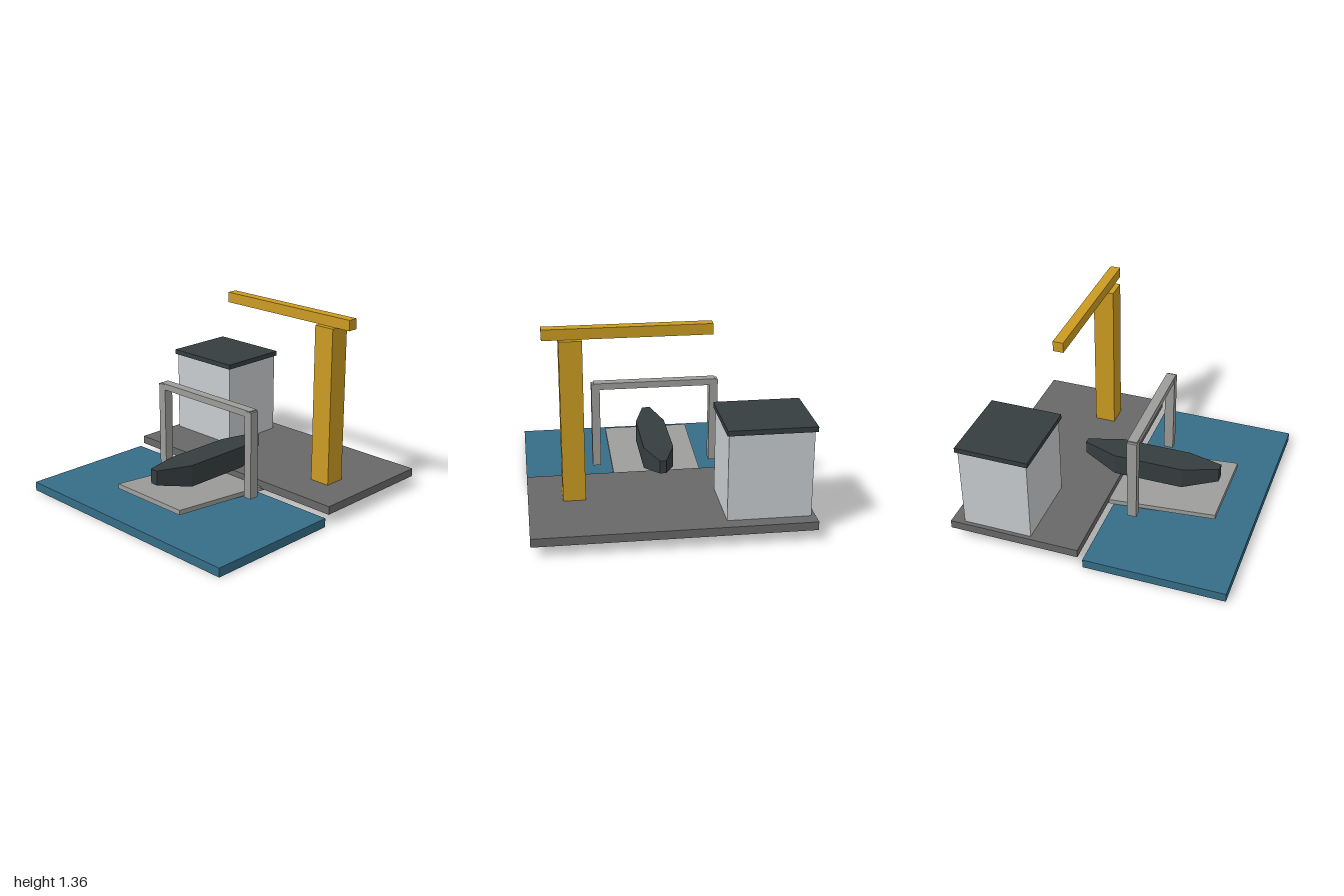
import * as THREE from 'three';

const mat = (name, color) => {
  const m = new THREE.MeshStandardMaterial({ color });
  m.name = name;
  return m;
};

// Loft rectangular sections [z, halfWidth, bottom, top] into a closed faceted hull
function loftHull(sections) {
  const pos = [];
  const rings = sections.map(([z, w, b, t]) => [[-w, b, z], [w, b, z], [w, t, z], [-w, t, z]]);
  const quad = (a, b, c, d) => pos.push(...a, ...b, ...c, ...a, ...c, ...d);
  for (let i = 0; i < rings.length - 1; i++) {
    for (let j = 0; j < 4; j++) {
      const k = (j + 1) % 4;
      quad(rings[i][j], rings[i][k], rings[i + 1][k], rings[i + 1][j]);
    }
  }
  const [a, b, c, d] = rings[0];
  quad(d, c, b, a);
  quad(...rings[rings.length - 1]);
  const geo = new THREE.BufferGeometry();
  geo.setAttribute('position', new THREE.Float32BufferAttribute(pos, 3));
  geo.computeVertexNormals();
  return geo;
}

export function createModel() {
  const model = new THREE.Group();
  model.name = 'boatyard';

  const water = mat('water blue', 0x356d87);
  const concrete = mat('concrete grey', 0x686868);
  const steel = mat('steel grey', 0x9c9c9a);
  const yellow = mat('crane yellow', 0xcb9b22);
  const wall = mat('wall light grey', 0xc8cccf);
  const dark = mat('dark slate', 0x353d3e);

  // Box given by its extents along each axis
  const box = (name, material, [x0, x1], [y0, y1], [z0, z1], parent = model) => {
    const mesh = new THREE.Mesh(new THREE.BoxGeometry(x1 - x0, y1 - y0, z1 - z0), material);
    mesh.position.set((x0 + x1) / 2, (y0 + y1) / 2, (z0 + z1) / 2);
    mesh.name = name;
    parent.add(mesh);
    return mesh;
  };
  const group = (name) => {
    const g = new THREE.Group();
    g.name = name;
    model.add(g);
    return g;
  };

  // Ground slabs
  box('waterSlab', water, [-0.95, 0.95], [0, 0.065], [-0.015, 1]);
  box('quay', concrete, [-0.95, 0.95], [0.08, 0.14], [-1, -0.05]);

  // Sloping slipway, rising towards the front
  const slipway = box('slipway', steel, [-0.317, 0.317], [0.081, 0.115], [-0.391, 0.745]);
  slipway.rotation.x = -0.088;

  // Shed
  const shed = group('shed');
  box('shedWalls', wall, [-0.92, -0.35], [0.14, 0.75], [-0.905, -0.405], shed);
  box('shedRoof', dark, [-0.937, -0.337], [0.75, 0.786], [-0.92, -0.39], shed);

  // Crane
  const crane = group('crane');
  box('craneMast', yellow, [0.555, 0.71], [0.14, 1.285], [-0.475, -0.323], crane);
  box('craneJib', yellow, [-0.32, 0.82], [1.285, 1.36], [-0.437, -0.362], crane);

  // Gantry frame over the slipway
  const gantry = group('gantry');
  box('gantryLeg', steel, [-0.465, -0.403], [0.12, 0.753], [0.138, 0.208], gantry);
  box('gantryLeg', steel, [0.4, 0.46], [0.12, 0.753], [0.138, 0.208], gantry);
  box('gantryBeam', steel, [-0.447, 0.444], [0.714, 0.761], [0.136, 0.206], gantry);

  // Boat hull with tapered ends
  const hull = new THREE.Mesh(loftHull([
    [-0.335, 0.022, 0.245, 0.34],
    [-0.08, 0.107, 0.177, 0.335],
    [0.43, 0.107, 0.177, 0.335],
    [0.685, 0.03, 0.24, 0.347],
  ]), dark);
  hull.name = 'boatHull';
  model.add(hull);

  return model;
}
